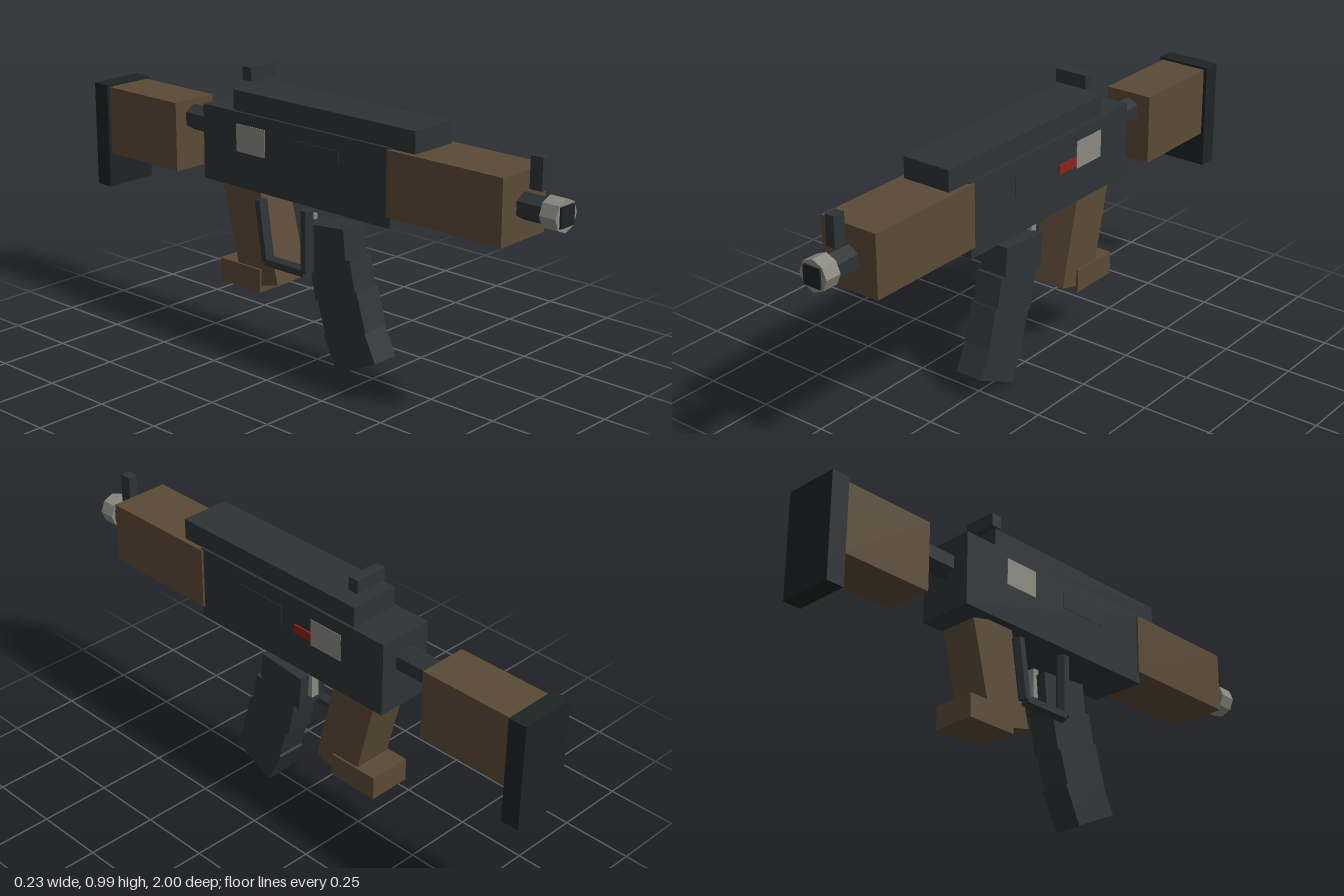
import * as THREE from 'three';

const mat = (color) => new THREE.MeshStandardMaterial({ color, flatShading: true });

export function createModel() {
  const root = new THREE.Group();
  const steel = mat(0x2d3436), black = mat(0x1e2324), wood = mat(0x5b4a36);
  const silver = mat(0x8a8a82), red = mat(0x8e221a);

  const add = (name, geometry, material) => {
    const mesh = new THREE.Mesh(geometry, material);
    mesh.name = name;
    root.add(mesh);
    return mesh;
  };

  // Box given by its extents along each axis
  const box = (name, material, [x0, x1], [y0, y1], [z0, z1]) => {
    const mesh = add(name, new THREE.BoxGeometry(x1 - x0, y1 - y0, z1 - z0), material);
    mesh.position.set((x0 + x1) / 2, (y0 + y1) / 2, (z0 + z1) / 2);
    return mesh;
  };
  const centred = (name, material, halfWidth, y, z) => box(name, material, [-halfWidth, halfWidth], y, z);

  // Box leaning forward at its foot, placed by its front bottom edge
  const leaningBox = (name, material, width, z, y, degrees, depth, length) => {
    const geometry = new THREE.BoxGeometry(width, length, depth).translate(0, length / 2, -depth / 2);
    const mesh = add(name, geometry, material);
    mesh.position.set(0, y, z);
    mesh.rotation.x = -THREE.MathUtils.degToRad(degrees);
  };

  // Faceted rod between two [y, z] points in the plane x
  const rod = (name, material, x, [y0, z0], [y1, z1], radius, sides = 6) => {
    const length = Math.hypot(y1 - y0, z1 - z0);
    const mesh = add(name, new THREE.CylinderGeometry(radius, radius, length, sides), material);
    mesh.position.set(x, (y0 + y1) / 2, (z0 + z1) / 2);
    mesh.rotation.x = Math.atan2(z1 - z0, y1 - y0);
  };

  // Body
  centred('receiver', steel, 0.1, [0.582, 0.843], [-0.435, 0.4]);
  centred('topCover', steel, 0.09, [0.83, 0.913], [-0.3, 0.49]);
  centred('handguard', wood, 0.108, [0.622, 0.839], [0.39, 0.84]);

  // Barrel and muzzle
  rod('barrel', steel, 0, [0.731, 0.8], [0.731, 0.94], 0.044);
  rod('muzzleRing', silver, 0, [0.731, 0.934], [0.731, 0.993], 0.054, 8);
  centred('muzzleBore', black, 0.033, [0.698, 0.764], [0.95, 1]);

  // Sights
  centred('frontSight', steel, 0.017, [0.792, 0.896], [0.87, 0.915]);
  centred('rearSight', steel, 0.061, [0.943, 0.99], [-0.285, -0.246]);

  // Stock
  rod('stockTube', steel, 0, [0.752, -0.62], [0.752, -0.42], 0.046);
  centred('stock', wood, 0.088, [0.57, 0.816], [-0.94, -0.588]);
  centred('buttPad', black, 0.1, [0.447, 0.824], [-1, -0.934]);

  // Grip
  leaningBox('grip', wood, 0.14, -0.12, 0.257, 13.8, 0.172, 0.36);
  centred('gripFoot', wood, 0.077, [0.214, 0.297], [-0.387, -0.197]);

  // Trigger and guard
  centred('trigger', silver, 0.015, [0.415, 0.518], [-0.04, -0.016]);
  const guard = [[0.56, 0.028], [0.343, 0.028], [0.343, -0.152], [0.553, -0.184]];
  for (let i = 0; i < 3; i++) rod('triggerGuard', steel, -0.082, guard[i], guard[i + 1], 0.022);

  // Curved magazine: z and y of front bottom edge, tilt, depth, length
  [
    [0.172, 0.39, 5, 0.188, 0.125],
    [0.219, 0.278, 12, 0.185, 0.14],
    [0.261, 0.18, 17, 0.185, 0.14],
    [0.303, 0.083, 26, 0.185, 0.14],
  ].forEach(([z, y, tilt, depth, length]) =>
    leaningBox('magazineSegment', steel, 0.104, z, y, tilt, depth, length));

  // Thin side plates, standing just off the body
  for (const side of [-1, 1]) {
    const x = side > 0 ? [0.112, 0.114] : [-0.114, -0.112];
    box('ejectionPort', steel, x, [0.725, 0.797], [0, 0.195]);
    box('sidePlate', silver, x, [0.711, 0.807], [-0.265, -0.132]);
  }
  box('selector', red, [0.095, 0.106], [0.715, 0.747], [-0.19, -0.048]);

  return root;
}
